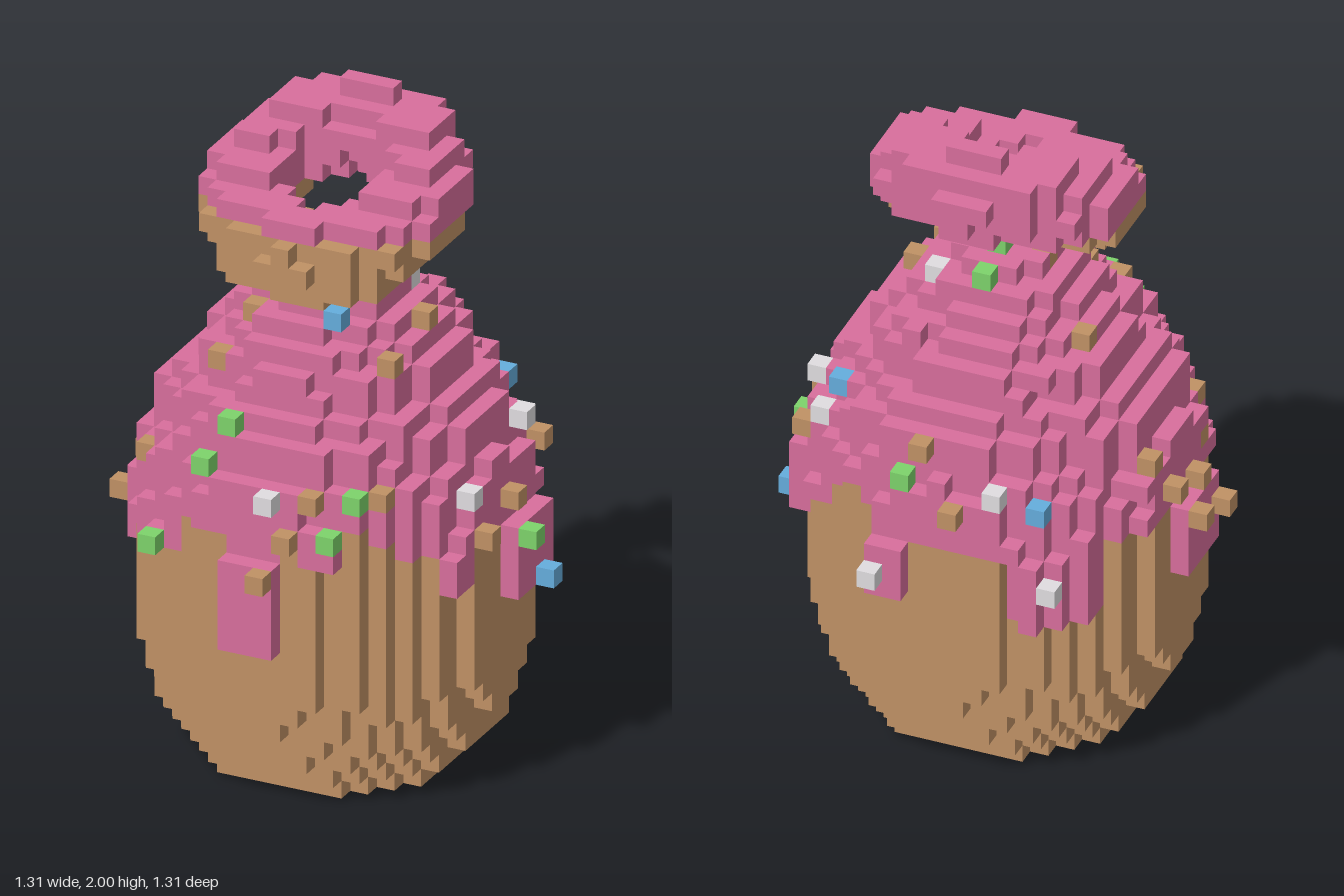
import * as THREE from 'three';

const V = 2 / 35; // edge of one cube

const mat = (name, color) => {
  const m = new THREE.MeshStandardMaterial({ color });
  m.name = name;
  return m;
};

// Layer radii in cubes, from the ground up
const BODY = [6.75, 7.65, 8.25, 8.75, 9.12, 9.25, 9.5, 9.5, 9.5, 9.5, 9.5, 9.5, 9.5, 9.5, 9.5, 9.5];
const ICING = { 9: 10.03, 10: 10.03, 11: 10.03, 12: 10.03, 13: 10.03, 14: 9.95, 15: 9.95, 16: 9.9, 17: 9.4,
  18: 8.95, 19: 8.8, 20: 7.95, 21: 6.95, 22: 6.8, 23: 5.9, 24: 4.9, 25: 3.85, 26: 2.4 };
const DRIP = 10.45; // radius where the icing runs down

// Lower edge of the icing: [end angle in degrees from the front, lowest layer]
const EDGE = [[9, 9], [15, 15], [29, 14], [45, 15], [58, 14], [69, 12], [87, 14], [110, 10], [122, 15],
  [134, 13], [158, 15], [172, 11], [204, 14], [232, 10], [262, 14], [282, 10], [304, 14], [333, 13],
  [351, 15], [361, 9]];

function lowestIcing(x, z) {
  const a = (THREE.MathUtils.radToDeg(Math.atan2(x, z)) + 360) % 360;
  return EDGE.find(([end]) => a <= end)[1];
}

// Repeatable value 0..1 for a cell
function hash(x, y, z) {
  const s = Math.sin(x * 12.99 + y * 78.23 + z * 37.72) * 43758.55;
  return s - Math.floor(s);
}

// Sprinkle cells [x, layer, z] by colour
const SPRINKLES = {
  green: [[-2, 20, 8], [-3, 18, 9], [-6, 13, 9], [5, 17, 8], [4, 15, 9], [11, 13, 0], [2, 17, -9],
    [0, 27, -1], [0, 26, -3]],
  white: [[1, 17, 10], [9, 16, 3], [9, 18, -3], [8, 17, -5], [3, 12, -11], [-6, 12, -9], [-3, 17, -9],
    [3, 25, -2]],
  blue: [[2, 26, 1], [2, 25, 4], [7, 19, -5], [11, 10, -2], [-5, 16, -8]],
  brown: [[1, 13, 11], [2, 15, 10], [3, 17, 9], [6, 17, 7], [10, 15, 0], [10, 14, 3], [9, 16, -5],
    [1, 19, -9], [-1, 16, -10], [-9, 17, -3], [-10, 15, -2], [-11, 13, -1], [-10, 14, 1], [-11, 12, 2],
    [-8, 16, 5], [-4, 22, 5], [-3, 24, 3], [5, 23, 4], [5, 24, 0], [-2, 26, 0], [-5, 23, -2]],
};

// The six cube faces: normal and two edge directions with u x v = n
const SIDES = [];
for (let k = 0; k < 3; k++) {
  for (const s of [1, -1]) {
    const n = [0, 0, 0], u = [0, 0, 0], v = [0, 0, 0];
    n[k] = s;
    u[(k + 1) % 3] = s;
    v[(k + 2) % 3] = 1;
    SIDES.push({ n, u, v });
  }
}

// Mesh of the outer cube faces of one part
function cubeMesh(cells, part, material) {
  const pos = [], nor = [];
  for (const [key, p] of cells) {
    if (p !== part) continue;
    const c = key.split(',').map(Number);
    for (const { n, u, v } of SIDES) {
      if (cells.has(c.map((q, i) => q + n[i]).join())) continue;
      for (const [a, b] of [[-1, -1], [1, -1], [1, 1], [-1, -1], [1, 1], [-1, 1]]) {
        for (let i = 0; i < 3; i++) {
          const q = c[i] + (i === 1 ? 0.5 : 0) + (n[i] + a * u[i] + b * v[i]) / 2;
          pos.push(q * V);
          nor.push(n[i]);
        }
      }
    }
  }
  const g = new THREE.BufferGeometry();
  g.setAttribute('position', new THREE.Float32BufferAttribute(pos, 3));
  g.setAttribute('normal', new THREE.Float32BufferAttribute(nor, 3));
  const mesh = new THREE.Mesh(g, material);
  mesh.name = part;
  return mesh;
}

export function createModel() {
  const brown = mat('biscuit brown', 0xc09165);
  const pink = mat('icing pink', 0xd86e9c);
  const green = mat('sprinkle green', 0x7dd36b);
  const blue = mat('sprinkle blue', 0x65addc);
  const white = mat('sprinkle white', 0xe0dde0);

  const cells = new Map();
  const put = (x, y, z, part) => cells.set([x, y, z].join(), part);

  const tilt = THREE.MathUtils.degToRad(25), sin = Math.sin(tilt), cos = Math.cos(tilt);
  for (let x = -10; x <= 10; x++) {
    for (let z = -10; z <= 10; z++) {
      const d = Math.hypot(x, z);

      // Rounded body
      BODY.forEach((r, y) => { if (d <= r) put(x, y, z, 'body'); });

      // Icing dome with drips and a bumpy surface
      const low = lowestIcing(x, z);
      for (let y = 9; y <= 26; y++) {
        const bump = y > 14 && y < 26 ? (hash(x, y >> 1, z) - 1) * 0.6 : 0;
        const r = y < 14 && low <= 12 ? DRIP : ICING[y] + bump;
        if (d > r) continue;
        if (y >= 16 || (y >= low && d > 7.7)) put(x, y, z, 'icing');
      }

      // Tilted ring on top, iced on its upper half
      for (let y = 26; y <= 34; y++) {
        const h = y - 30;
        const along = z * cos - h * sin, across = h * cos + z * sin;
        const t = Math.hypot(x, along) - 4.5;
        if (t * t + across * across <= 4.6) put(x, y, z, y >= 30 ? 'ringIcing' : 'ring');
      }
    }
  }

  // Sprinkles
  for (const [name, list] of Object.entries(SPRINKLES)) {
    for (const [x, y, z] of list) put(x, y, z, name + 'Sprinkles');
  }

  const group = new THREE.Group();
  group.name = 'icedJar';
  const parts = { body: brown, icing: pink, ring: brown, ringIcing: pink, greenSprinkles: green,
    whiteSprinkles: white, blueSprinkles: blue, brownSprinkles: brown };
  for (const [part, material] of Object.entries(parts)) group.add(cubeMesh(cells, part, material));
  return group;
}
